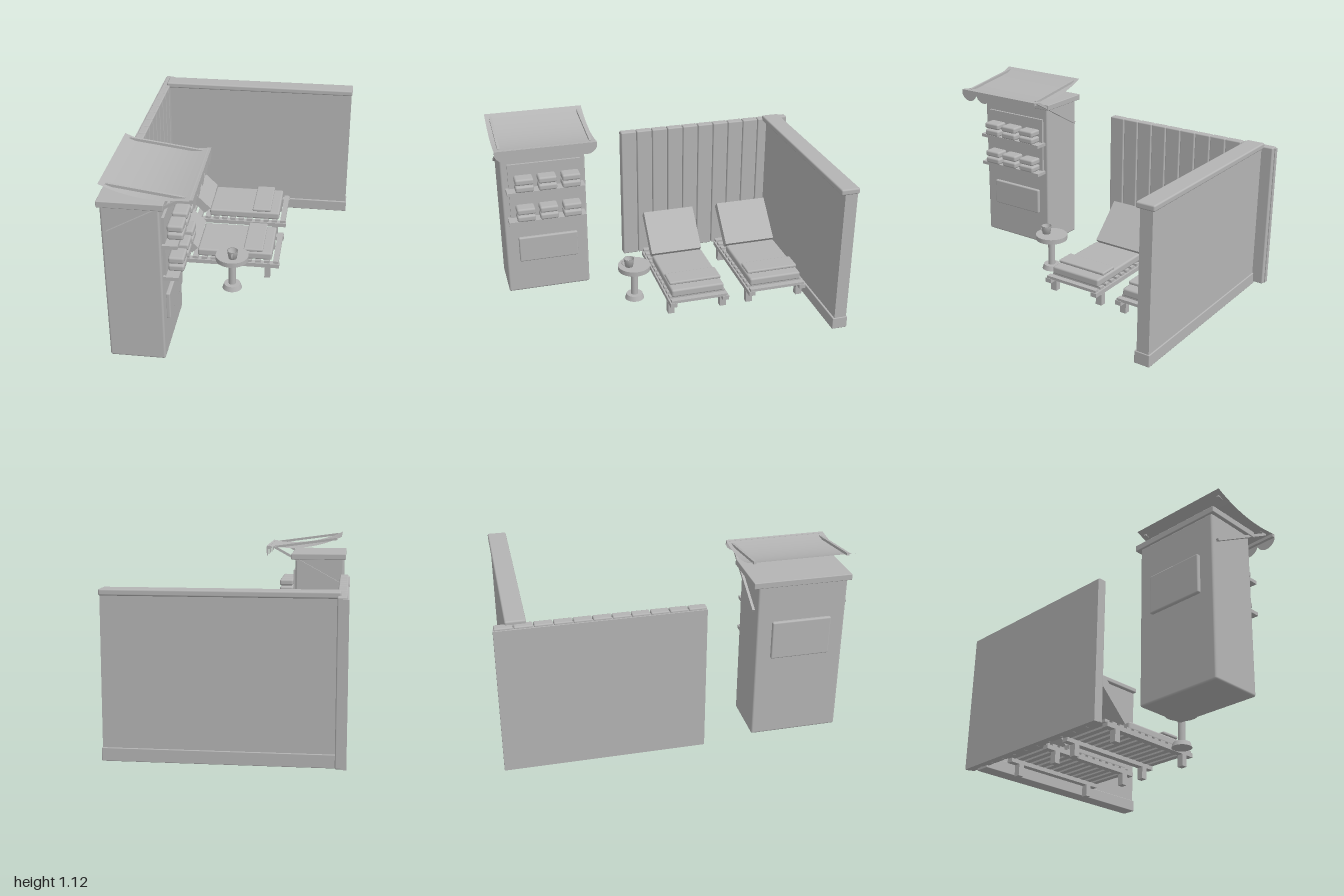
import * as THREE from 'three';
import { RoundedBoxGeometry } from 'three/addons/geometries/RoundedBoxGeometry.js';

const plain = new THREE.MeshStandardMaterial({ color: 0xb4b4b4 });
plain.name = 'plain grey';
const sheet = plain; // same grey on open cloth and hollow cup
sheet.side = THREE.DoubleSide;

function add(parent, name, geometry) {
  const mesh = new THREE.Mesh(geometry, plain);
  mesh.name = name;
  parent.add(mesh);
  return mesh;
}

// Box given by its limits on each axis; r rounds the edges
function box(parent, name, [x0, x1], [y0, y1], [z0, z1], r = 0) {
  const s = [x1 - x0, y1 - y0, z1 - z0];
  const g = r ? new RoundedBoxGeometry(...s, 2, r) : new THREE.BoxGeometry(...s);
  const m = add(parent, name, g);
  m.position.set((x0 + x1) / 2, (y0 + y1) / 2, (z0 + z1) / 2);
  return m;
}

// Square bar between two points of the same z
function bar(parent, name, [x0, y0], [x1, y1], z, t) {
  const m = add(parent, name, new THREE.BoxGeometry(Math.hypot(x1 - x0, y1 - y0), t, t));
  m.position.set((x0 + x1) / 2, (y0 + y1) / 2, z);
  m.rotation.z = Math.atan2(y1 - y0, x1 - x0);
}

function group(parent, name) {
  const g = new THREE.Group();
  g.name = name;
  parent.add(g);
  return g;
}

function buildWalls(root) {
  const wall = group(root, 'backWall');
  box(wall, 'wallPanel', [-0.6, 0.635], [0.012, 0.9], [-0.925, -0.85]);
  box(wall, 'wallBase', [-0.605, 0.64], [0.01, 0.083], [-0.932, -0.838], 0.004);
  box(wall, 'wallCap', [-0.605, 0.64], [0.89, 0.925], [-0.936, -0.823], 0.009);

  const fence = group(root, 'plankFence');
  box(fence, 'fenceBacking', [-0.645, -0.615], [0.025, 0.895], [-1, 0.145]);
  const pitch = 0.104;
  for (let i = 0; i < 11; i++) {
    const z = -0.997 + i * pitch;
    box(fence, 'fencePlank', [-0.637, -0.586], [0.025, 0.906], [z + 0.002, z + pitch - 0.002], 0.007);
  }
}

function buildKiosk(root) {
  const kiosk = group(root, 'kiosk');
  box(kiosk, 'kioskBody', [-0.605, -0.295], [0.025, 0.98], [0.443, 0.96], 0.012);
  box(kiosk, 'kioskRoof', [-0.617, -0.268], [0.972, 1.008], [0.413, 0.98], 0.004);
  box(kiosk, 'rearHatch', [-0.625, -0.6], [0.53, 0.758], [0.53, 0.873], 0.008);
  box(kiosk, 'shelfBack', [-0.3, -0.281], [0.525, 0.898], [0.475, 0.917]);
  box(kiosk, 'frontHatch', [-0.3, -0.274], [0.24, 0.405], [0.511, 0.88], 0.008);

  // Two shelves, each with three stacks of folded towels
  for (const y of [0.529, 0.723]) {
    box(kiosk, 'shelf', [-0.295, -0.212], [y, y + 0.02], [0.46, 0.935]);
    for (const z of [0.546, 0.69, 0.83]) {
      for (const h of [0.026, 0.072]) {
        box(kiosk, 'foldedTowel', [-0.277, -0.19], [y + h, y + h + 0.039], [z - 0.056, z + 0.056], 0.012);
      }
    }
  }
}

function buildAwning(root) {
  const awning = group(root, 'awning');
  // Sagging cloth, swept along z
  const sag = new THREE.QuadraticBezierCurve(
    new THREE.Vector2(-0.59, 1.12), new THREE.Vector2(-0.37, 1.015), new THREE.Vector2(-0.112, 1.061));
  const cloth = new THREE.PlaneGeometry(1, 0.6, 14, 1);
  const p = cloth.attributes.position;
  for (let i = 0; i < p.count; i++) {
    const c = sag.getPoint(p.getX(i) + 0.5);
    p.setXYZ(i, c.x, c.y, 0.7 - p.getY(i));
  }
  cloth.computeVertexNormals();
  add(awning, 'awningCloth', cloth);

  // Scalloped valance
  const shape = new THREE.Shape();
  shape.moveTo(-0.3, 0.025);
  shape.lineTo(-0.3, 0);
  const lobes = 5, w = 0.6 / lobes;
  for (let i = 0; i < lobes; i++) {
    const a = -0.3 + i * w;
    shape.bezierCurveTo(a + w * 0.2, -0.055, a + w * 0.8, -0.055, a + w, 0);
  }
  shape.lineTo(0.3, 0.025);
  const valance = add(awning, 'valance', new THREE.ShapeGeometry(shape, 8));
  valance.rotation.y = Math.PI / 2;
  valance.position.set(-0.111, 1.03, 0.7);

  box(awning, 'frontBar', [-0.13, -0.112], [1.04, 1.059], [0.4, 1]);
  for (const z of [0.429, 0.967]) {
    bar(awning, 'awningArm', [-0.56, 1.105], [-0.157, 1.05], z, 0.015);
    bar(awning, 'awningStrut', [-0.573, 0.822], [-0.157, 1.052], z, 0.015);
  }
}

function buildLounger(root, zc) {
  const lounger = group(root, 'lounger');
  lounger.position.z = zc;
  for (const s of [-1, 1]) {
    const side = (a, b) => (s > 0 ? [a, b] : [-b, -a]);
    box(lounger, 'sideRail', [-0.46, 0.247], [0.073, 0.1], side(0.147, 0.187));
    for (const x of [-0.4, 0.156]) {
      box(lounger, 'leg', [x, x + 0.036], [0, 0.075], side(0.147, 0.188));
    }
  }
  // Slats across the rails
  for (let i = 0; i < 13; i++) {
    const x = -0.47 + i * 0.0565;
    box(lounger, 'slat', [x, x + 0.035], [0.098, 0.116], [-0.178, 0.178]);
  }
  box(lounger, 'seatCushion', [-0.27, 0.2], [0.115, 0.165], [-0.167, 0.167], 0.012);
  box(lounger, 'loungerTowel', [0.02, 0.142], [0.168, 0.188], [-0.165, 0.165], 0.008);
  // Raised backrest
  const back = add(lounger, 'backrest', new THREE.BoxGeometry(0.29, 0.055, 0.335));
  back.position.set(-0.388, 0.257, 0);
  back.rotation.z = -Math.PI / 4;
}

function buildTable(root) {
  const table = group(root, 'sideTable');
  table.position.set(-0.026, 0, 0.211);
  const disc = (name, rt, rb, y0, y1) => {
    add(table, name, new THREE.CylinderGeometry(rt, rb, y1 - y0, 32)).position.y = (y0 + y1) / 2;
  };
  disc('tableBase', 0.05, 0.06, 0.02, 0.05);
  disc('tableStem', 0.022, 0.022, 0.045, 0.23);
  disc('tableTop', 0.1, 0.1, 0.224, 0.254);

  // Hollow cup with its handle towards the front
  const cup = group(table, 'cup');
  cup.position.set(0.008, 0.254, 0.034);
  const profile = [[0, 0], [0.025, 0], [0.033, 0.052], [0.029, 0.052], [0.022, 0.007], [0, 0.007]];
  add(cup, 'cupBody', new THREE.LatheGeometry(profile.map(([x, y]) => new THREE.Vector2(x, y)), 24));
  const handle = add(cup, 'cupHandle', new THREE.TorusGeometry(0.015, 0.004, 8, 16, Math.PI));
  handle.rotation.set(0, Math.PI / 2, -Math.PI / 2, 'YZX');
  handle.rotation.set(0, -Math.PI / 2, 0);
  handle.geometry.rotateZ(-Math.PI / 2);
  handle.position.set(0, 0.028, 0.029);
}

export function createModel() {
  const root = new THREE.Group();
  root.name = 'poolsideCorner';
  buildWalls(root);
  buildKiosk(root);
  buildAwning(root);
  for (const z of [-0.643, -0.136]) buildLounger(root, z);
  buildTable(root);
  return root;
}
